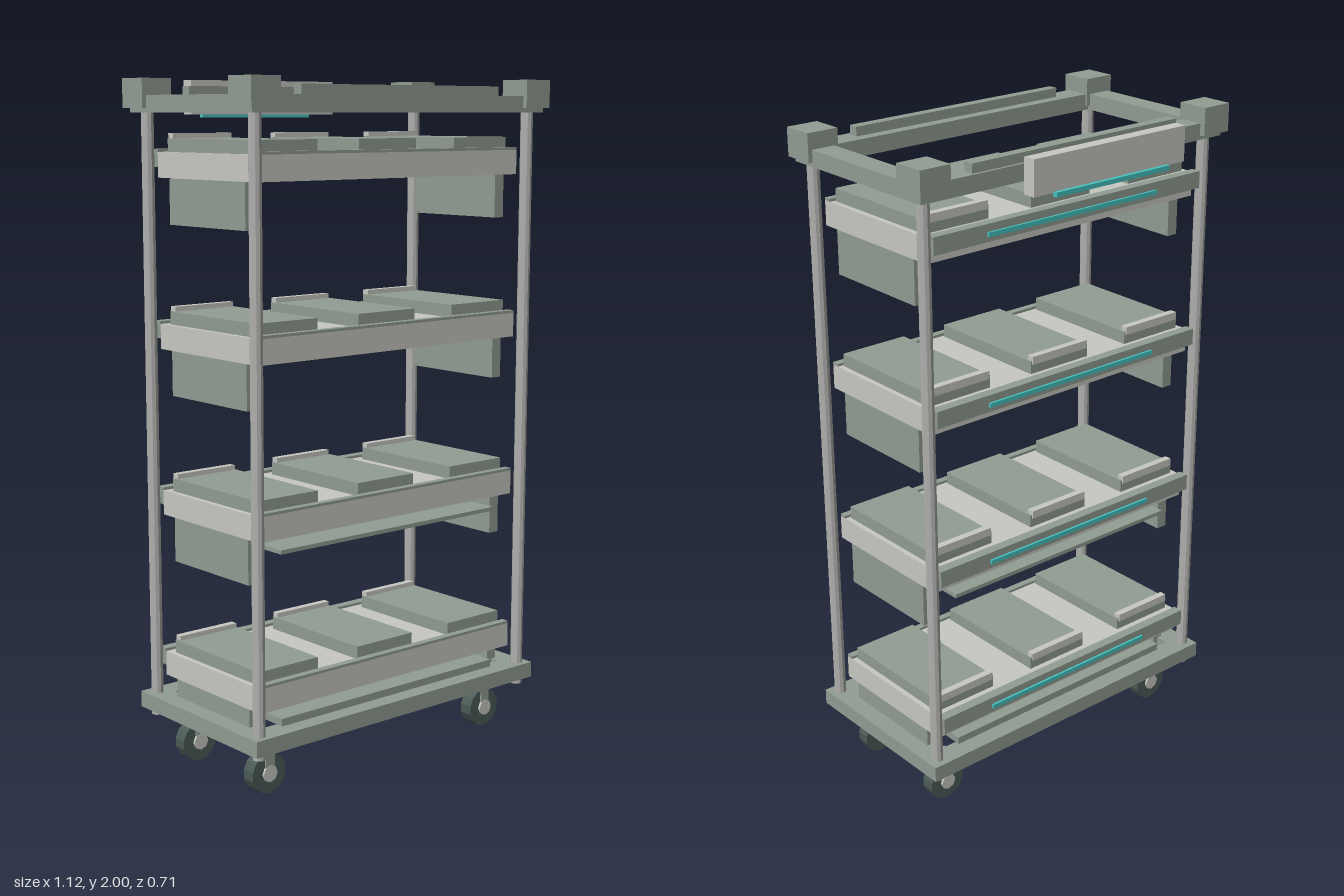
import * as THREE from 'three';

const mat = (name, color, flatShading = false) => {
  const m = new THREE.MeshStandardMaterial({ color, flatShading });
  m.name = name;
  return m;
};

export function createModel() {
  const sage = mat('sage', 0x919d93);
  const pale = mat('paleGrey', 0xc8c9c3);
  const steel = mat('steel', 0xb0b1ae, true);
  const teal = mat('teal', 0x45c4c0);
  const rubber = mat('rubber', 0x4a5a57, true);

  const model = new THREE.Group();
  model.name = 'trolley';
  const group = (name, parent = model) => {
    const g = new THREE.Group();
    g.name = name;
    parent.add(g);
    return g;
  };
  // Box given by its extents on each axis
  const box = (parent, name, m, x0, x1, y0, y1, z0, z1) => {
    const mesh = new THREE.Mesh(new THREE.BoxGeometry(x1 - x0, y1 - y0, z1 - z0), m);
    mesh.position.set((x0 + x1) / 2, (y0 + y1) / 2, (z0 + z1) / 2);
    mesh.name = name;
    parent.add(mesh);
    return mesh;
  };
  const cyl = (parent, name, m, r, h, sides, x, y, z, alongZ = false) => {
    const mesh = new THREE.Mesh(new THREE.CylinderGeometry(r, r, h, sides), m);
    mesh.position.set(x, y, z);
    if (alongZ) mesh.rotation.x = Math.PI / 2;
    mesh.name = name;
    parent.add(mesh);
    return mesh;
  };
  // Open rectangular frame of four rails
  const frame = (parent, y0, y1) => {
    box(parent, 'frontRail', sage, -0.545, 0.545, y0, y1, 0.26, 0.337);
    box(parent, 'backRail', sage, -0.545, 0.545, y0, y1, -0.224, -0.155);
    box(parent, 'leftRail', sage, 0.472, 0.545, y0, y1, -0.155, 0.26);
    box(parent, 'rightRail', sage, -0.545, -0.472, y0, y1, -0.155, 0.26);
  };

  // Base frame and top frame
  const base = group('baseFrame');
  frame(base, 0.159, 0.207);
  box(base, 'basePanel', sage, -0.415, 0.415, 0.207, 0.229, -0.17, 0.285);

  const top = group('topFrame');
  frame(top, 1.905, 1.953);
  box(top, 'frontStrip', sage, -0.37, 0.37, 1.953, 1.98, 0.293, 0.323);
  box(top, 'backStrip', sage, -0.37, 0.37, 1.953, 1.98, -0.215, -0.183);

  // Corner blocks, posts and casters on each corner
  for (const s of [-1, 1]) {
    for (const front of [true, false]) {
      const bz = front ? 0.302 : -0.192;
      box(top, 'cornerBlock', sage, s * 0.509 - 0.049, s * 0.509 + 0.049, 1.918, 2, bz - 0.049, bz + 0.049);
      cyl(model, 'post', steel, 0.0185, 1.77, 10, s * 0.511, 1.025, front ? 0.304 : -0.188);

      const caster = group('caster');
      caster.position.set(s * 0.43, 0, front ? 0.224 : -0.109);
      cyl(caster, 'tyre', rubber, 0.06, 0.042, 14, 0, 0.061, 0, true);
      cyl(caster, 'hub', pale, 0.025, 0.056, 8, 0, 0.061, 0, true);
      box(caster, 'forkCrown', sage, -0.028, 0.028, 0.121, 0.15, -0.027, 0.027);
      for (const k of [-1, 1])
        box(caster, 'forkSide', sage, -0.016, 0.016, 0.06, 0.122, k * 0.0235 - 0.003, k * 0.0235 + 0.003);
      cyl(caster, 'stem', steel, 0.015, 0.02, 10, 0, 0.155, 0);
    }
  }

  // Four evenly spaced shelves
  for (let i = 0; i < 4; i++) {
    const shelf = group('shelf');
    shelf.position.y = 0.26 + i * 0.488;
    box(shelf, 'tray', pale, -0.49, 0.49, 0, 0.072, -0.17, 0.285);
    box(shelf, 'frontLip', sage, -0.49, 0.49, 0.072, 0.08, 0.262, 0.285);
    box(shelf, 'backRail', sage, -0.49, 0.49, 0.03, 0.08, -0.201, -0.17);
    box(shelf, 'lightStrip', teal, -0.31, 0.31, 0.045, 0.058, -0.208, -0.201);
    for (const s of [-1, 1])
      box(shelf, 'sidePanel', sage, s * 0.472 - 0.018, s * 0.472 + 0.018, -0.13, -0.001, -0.115, 0.233);
    // Three bins with a raised label ledge at the back
    for (const x of [-0.366, 0, 0.366]) {
      box(shelf, 'bin', sage, x - 0.108, x + 0.108, 0.072, 0.11, -0.143, 0.255);
      box(shelf, 'binLedge', pale, x - 0.103, x + 0.103, 0.1, 0.124, -0.147, -0.125);
    }
  }

  // Thin panel hung below the second shelf
  box(model, 'hangingPanel', sage, -0.415, 0.415, 0.704, 0.716, -0.17, 0.285);

  // Header sign behind the top frame
  const sign = group('headerSign');
  box(sign, 'signPlate', pale, -0.273, 0.273, 1.9, 2, -0.345, -0.307);
  box(sign, 'signStrip', teal, -0.205, 0.205, 1.89, 1.903, -0.357, -0.342);

  return model;
}
